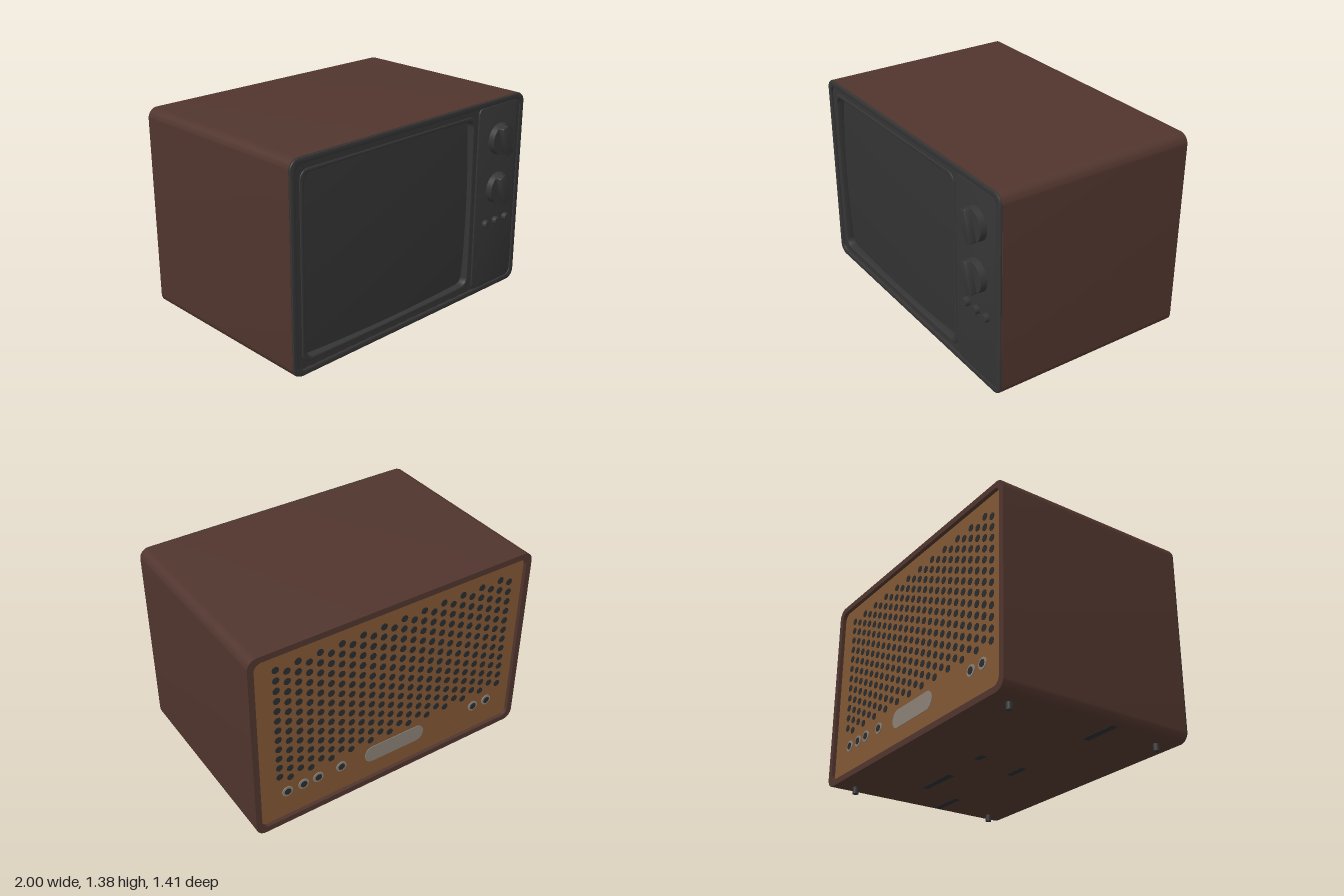
import * as THREE from 'three';
import { mergeGeometries, toCreasedNormals } from 'three/addons/utils/BufferGeometryUtils.js';

const material = (name, color, side = THREE.FrontSide) => {
  const m = new THREE.MeshStandardMaterial({ color, side });
  m.name = name;
  return m;
};

// Rounded rectangle outline; bow swells the four edges outward
function roundRect(x0, x1, y0, y1, r, bow = 0) {
  const s = new THREE.Shape(), k = r * 0.45, b = bow * 2;
  const cx = (x0 + x1) / 2, cy = (y0 + y1) / 2;
  const edge = (mx, my, x, y) => (bow ? s.quadraticCurveTo(mx, my, x, y) : s.lineTo(x, y));
  s.moveTo(x0 + r, y0);
  edge(cx, y0 - b, x1 - r, y0);
  s.bezierCurveTo(x1 - k, y0, x1, y0 + k, x1, y0 + r);
  edge(x1 + b, cy, x1, y1 - r);
  s.bezierCurveTo(x1, y1 - k, x1 - k, y1, x1 - r, y1);
  edge(cx, y1 + b, x0 + r, y1);
  s.bezierCurveTo(x0 + k, y1, x0, y1 - k, x0, y1 - r);
  edge(x0 - b, cy, x0, y0 + r);
  s.bezierCurveTo(x0, y0 + k, x0 + k, y0, x0 + r, y0);
  return s;
}

// Extrude a shape between two z planes, with an optional inset bevel
function slab(shape, z0, z1, bevel = 0, hole = null) {
  if (hole) shape.holes.push(hole);
  const g = new THREE.ExtrudeGeometry(shape, {
    depth: z1 - z0 - 2 * bevel, curveSegments: 10, bevelEnabled: bevel > 0,
    bevelThickness: bevel, bevelSize: bevel, bevelOffset: -bevel, bevelSegments: 2,
  });
  g.translate(0, 0, z0 + bevel);
  return toCreasedNormals(g, 0.6);
}

// Cylinder lying along z
function disc(r, x, y, z0, z1, sides = 32, rFront = r) {
  return new THREE.CylinderGeometry(rFront, r, z1 - z0, sides)
    .rotateX(Math.PI / 2).translate(x, y, (z0 + z1) / 2);
}

export function createModel() {
  const group = new THREE.Group();
  const wood = material('brown cabinet', 0x50352d);
  const black = material('black plastic', 0x353535);
  const glass = material('dark screen', 0x333333);
  const board = material('tan board', 0x825735);
  const dark = material('dark openings', 0x2a2c2e);
  const metal = material('grey metal', 0x8a8176);
  const add = (name, geometry, mat, parent = group) => {
    const mesh = new THREE.Mesh(geometry, mat);
    mesh.name = name;
    parent.add(mesh);
    return mesh;
  };

  // Cabinet shell, open at both ends
  add('cabinet', slab(roundRect(-1, 1, 0.045, 1.375, 0.065), -0.705, 0.617, 0,
    roundRect(-0.96, 0.96, 0.085, 1.335, 0.05)), wood);

  // Front bezel: outer lip, recessed face, screen surround, control panel
  add('bezelLip', slab(roundRect(-0.998, 0.998, 0.047, 1.373, 0.065), 0.612, 0.63, 0.006,
    roundRect(-0.96, 0.96, 0.083, 1.337, 0.05)), black);
  add('bezelFace', slab(roundRect(-0.97, 0.97, 0.073, 1.347, 0.05), 0.55, 0.616, 0,
    roundRect(-0.905, 0.515, 0.135, 1.285, 0.06)), black);
  add('screenSurround', slab(roundRect(-0.925, 0.533, 0.118, 1.3, 0.06), 0.56, 0.624, 0.006,
    roundRect(-0.895, 0.505, 0.145, 1.275, 0.05, 0.007)), black);
  add('controlPanel', slab(roundRect(0.56, 0.958, 0.085, 1.335, 0.04), 0.61, 0.626, 0.003), black);

  // Domed picture tube
  const screen = new THREE.PlaneGeometry(1.44, 1.17, 24, 20);
  const p = screen.attributes.position;
  for (let i = 0; i < p.count; i++) {
    const u = p.getX(i) / 0.72, v = p.getY(i) / 0.585;
    p.setZ(i, 0.57 + 0.035 * (1 - 0.5 * (u * u + v * v)));
  }
  screen.computeVertexNormals();
  add('screen', screen.translate(-0.195, 0.71, 0), glass);

  // Tuning knobs with slanted grips
  for (const y of [1.105, 0.77]) {
    const knob = new THREE.Group();
    knob.name = 'knob';
    knob.position.set(0.765, y, 0);
    add('knobDisc', disc(0.105, 0, 0, 0.62, 0.667, 40, 0.101), black, knob);
    const grip = add('knobGrip', slab(roundRect(-0.029, 0.029, -0.1, 0.1, 0.008), 0.65, 0.705, 0.005), black, knob);
    grip.rotation.z = 0.33;
    group.add(knob);
  }

  // Push buttons
  for (const x of [0.665, 0.765, 0.865]) {
    add('button', disc(0.029, x, 0.535, 0.62, 0.656, 24, 0.027), black);
  }

  // Recessed back board with a staggered field of vent holes
  add('backBoard', slab(roundRect(-0.962, 0.962, 0.083, 1.337, 0.05), -0.68, -0.66), board);
  const holes = [];
  for (let c = 0; c < 24; c++) {
    for (let r = 0; r < 12; r++) {
      const y = 1.225 - r * 0.073 - (c % 2) * 0.0365;
      holes.push(disc(0.024, 0.815 - c * 0.0726, y, -0.683, -0.677, 8));
    }
  }
  add('ventHoles', mergeGeometries(holes), dark);

  // Sockets and rating plate on the back
  for (const x of [0.766, 0.653, 0.548, 0.38, -0.66, -0.774]) {
    add('socketRing', disc(0.037, x, 0.28, -0.686, -0.675, 20), metal);
    add('socketCentre', disc(0.024, x, 0.28, -0.689, -0.68, 8), dark);
  }
  add('ratingPlate', slab(roundRect(-0.25, 0.2, 0.205, 0.325, 0.055), -0.684, -0.676), metal);

  // Feet
  for (const x of [-0.865, 0.865]) {
    for (const z of [0.495, -0.57]) {
      add('foot', new THREE.CylinderGeometry(0.02, 0.02, 0.05, 16).translate(x, 0.025, z), black);
    }
  }

  // Slots under the cabinet: x, z, length
  for (const [x, z, length] of [[0.81, 0.11, 0.26], [-0.81, 0.11, 0.26], [0, 0.11, 0.16], [0.45, -0.19, 0.32], [-0.08, -0.22, 0.08]]) {
    add('bottomSlot', new THREE.BoxGeometry(length, 0.006, 0.045).translate(x, 0.046, z), dark);
  }
  return group;
}
